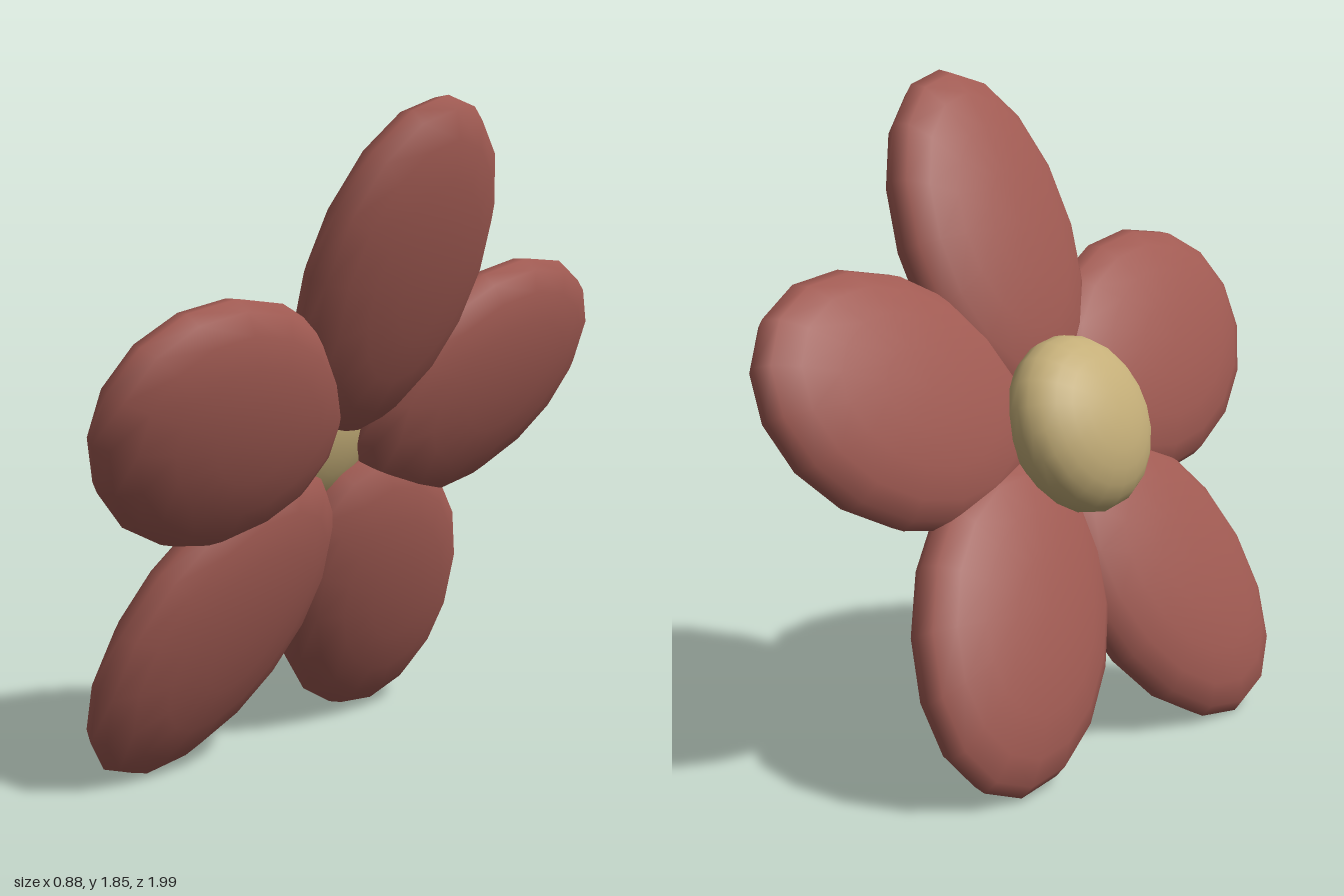
import * as THREE from 'three';

export function createModel() {
  const flower = new THREE.Group();
  flower.name = 'flower';
  const petalRed = new THREE.MeshStandardMaterial({ color: 0xa05a52 });
  petalRed.name = 'petal red';
  const centerGold = new THREE.MeshStandardMaterial({ color: 0xc4ae78 });
  centerGold.name = 'center gold';

  // Local frame: y is the way the blossom faces, z runs along the first petal
  const face = new THREE.Vector3(-0.914, 0.356, 0.192).normalize();
  const up = new THREE.Vector3(0.351, 0.934, -0.065);
  up.addScaledVector(face, -up.dot(face)).normalize();
  const side = new THREE.Vector3().crossVectors(face, up);
  flower.add(new THREE.Group());
  const head = flower.children[0];
  head.name = 'blossom';
  head.quaternion.setFromRotationMatrix(new THREE.Matrix4().makeBasis(side, face, up));
  head.position.set(0.015, 0.86, 0.018);

  // Five overlapping flattened petals
  const petalGeometry = new THREE.SphereGeometry(1, 16, 10);
  petalGeometry.scale(0.35, 0.13, 0.493);
  petalGeometry.translate(0, 0, 0.57);
  for (let i = 0; i < 5; i++) {
    const petal = new THREE.Mesh(petalGeometry, petalRed);
    petal.name = `petal${i + 1}`;
    petal.rotation.y = (i * Math.PI * 2) / 5;
    head.add(petal);
  }

  // Domed center
  const center = new THREE.Mesh(new THREE.SphereGeometry(0.25, 20, 14), centerGold);
  center.name = 'center';
  center.scale.y = 0.58;
  center.position.y = 0.135;
  head.add(center);

  return flower;
}
